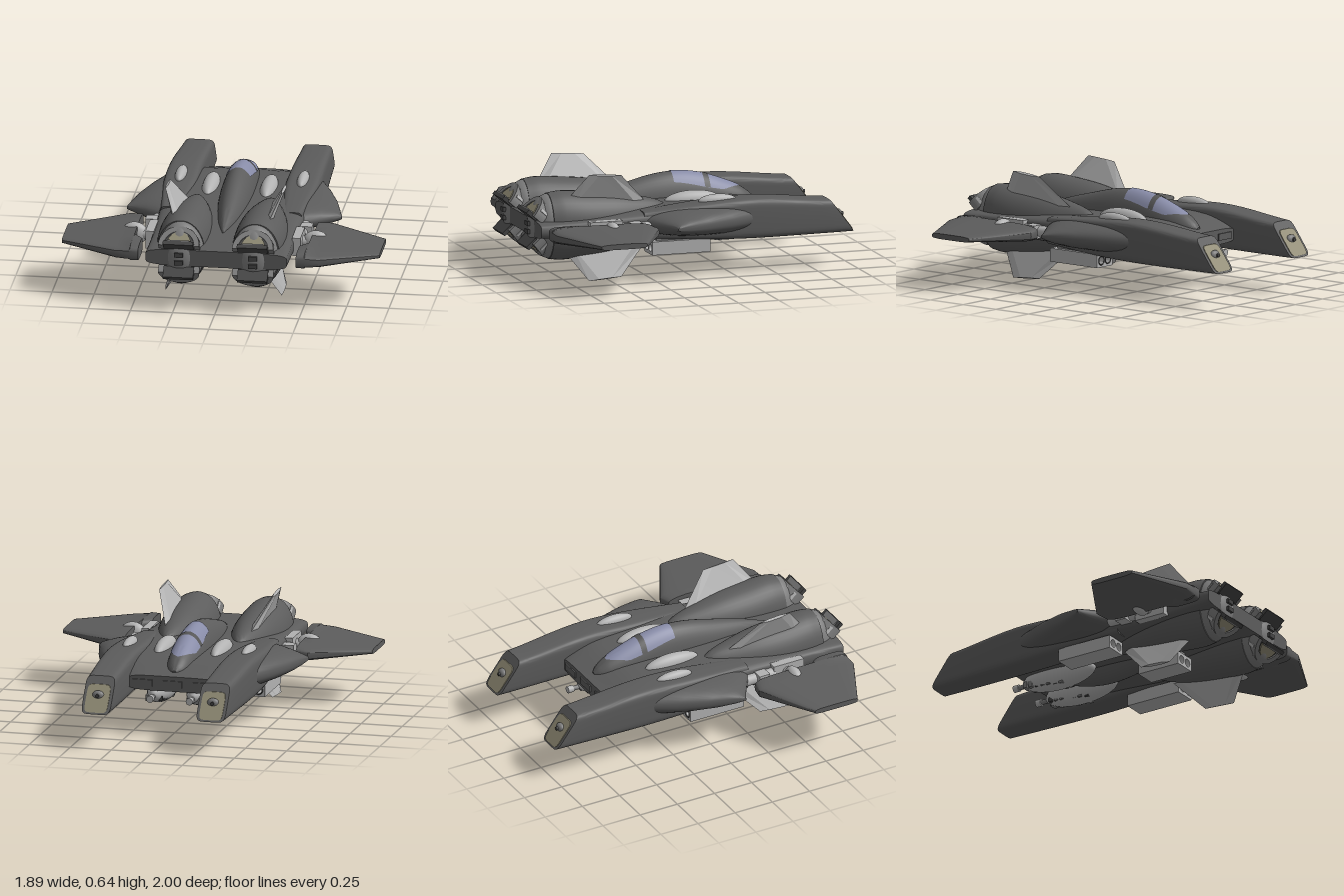
import * as THREE from 'three';
import { toCreasedNormals } from 'three/addons/utils/BufferGeometryUtils.js';

const mat = (name, color, side = THREE.FrontSide) => {
  const m = new THREE.MeshStandardMaterial({ color, side });
  m.name = name;
  return m;
};
const HULL = mat('dark hull grey', 0x5c5c5c);
const LIGHT = mat('light grey', 0xb2b2b2);
const METAL = mat('engine metal', 0x7c7c7c);
const SHADOW = mat('deep grey', 0x444444);
const GLASS = mat('canopy blue', 0x888ca8, THREE.DoubleSide);
const LAMP = mat('dull tan', 0x928d76);
const FRAME = mat('canopy frame grey', 0x545454, THREE.DoubleSide);

// Smooth (or straight) interpolation of rows [t, a, b, ...] at t
function interp(keys, t, straight) {
  let i = 0;
  while (i < keys.length - 2 && t > keys[i + 1][0]) i++;
  const a = keys[i], b = keys[i + 1], h = b[0] - a[0], u = (t - a[0]) / h;
  const p = keys[i - 1] || a, q = keys[i + 2] || b;
  return a.map((_, k) => {
    if (straight) return a[k] + (b[k] - a[k]) * u;
    const m0 = (b[k] - p[k]) / (b[0] - p[0]) * h, m1 = (q[k] - a[k]) / (q[0] - a[0]) * h;
    return a[k] * (1 + 2 * u) * (1 - u) ** 2 + m0 * u * (1 - u) ** 2
      + b[k] * u * u * (3 - 2 * u) + m1 * u * u * (u - 1);
  });
}

// Stations between the keys, always including the keys themselves
function stations(keys, per) {
  const out = [keys[0][0]];
  for (let i = 1; i < keys.length; i++)
    for (let j = 1; j <= per; j++) out.push(keys[i - 1][0] + (keys[i][0] - keys[i - 1][0]) * j / per);
  return out;
}

// Skin over rings of points; closed skins get end caps and outward winding
function skin(rings, closed = true, crease = 0.65) {
  const n = rings[0].length, pos = rings.flat(2), idx = [];
  for (let r = 0; r < rings.length - 1; r++)
    for (let i = 0; i < (closed ? n : n - 1); i++) {
      const a = r * n + i, b = r * n + (i + 1) % n;
      idx.push(a, b, b + n, a, b + n, a + n);
    }
  if (closed) [0, rings.length - 1].forEach((r) => {
    const c = pos.length / 3;
    pos.push(...[0, 1, 2].map((k) => rings[r].reduce((s, p) => s + p[k], 0) / n));
    for (let i = 0; i < n; i++) {
      const a = r * n + i, b = r * n + (i + 1) % n;
      r ? idx.push(c, a, b) : idx.push(c, b, a);
    }
  });
  let volume = 0;
  const v = (i) => new THREE.Vector3(...pos.slice(i * 3, i * 3 + 3));
  for (let i = 0; i < idx.length; i += 3) volume += v(idx[i]).dot(v(idx[i + 1]).cross(v(idx[i + 2])));
  if (closed && volume < 0) idx.reverse();
  const g = new THREE.BufferGeometry();
  g.setAttribute('position', new THREE.Float32BufferAttribute(pos, 3));
  g.setIndex(idx);
  return toCreasedNormals(g, crease);
}

const pow = (v, e) => Math.sign(v) * Math.abs(v) ** (2 / e);
const angles = (n, a0 = 0, a1 = 2 * Math.PI * (n - 1) / n) =>
  Array.from({ length: n }, (_, i) => a0 + (a1 - a0) * i / (n - 1));

// Body along z from rows [z, cx, cy, halfWidth, halfHeight, shear]
const ringZ = ([z, cx, cy, w, h, sh = 0], e, s, list) => list.map((a) =>
  [s * (cx + w * pow(Math.cos(a), e)), cy + h * pow(Math.sin(a), e), z + sh * pow(Math.sin(a), e)]);
const bodyZ = (keys, e, s = 1, per = 5) =>
  skin(stations(keys, per).map((z) => ringZ(interp(keys, z), e, s, angles(40))));

// Flat wing along x from rows [x, zFront, zBack, halfThickness]
const wingX = (keys, e, s, y) => skin(stations(keys, 1).map((x) => {
  const [, z0, z1, t] = interp(keys, x, true);
  return angles(32).map((a) => [s * x, y + t * pow(Math.sin(a), e), (z0 + z1) / 2 + (z1 - z0) / 2 * pow(Math.cos(a), e)]);
}));

const SPINE = [[-0.51, 0, 0.36, 0.015, 0.02], [-0.48, 0, 0.36, 0.045, 0.05], [-0.42, 0, 0.36, 0.072, 0.09],
  [-0.3, 0, 0.36, 0.092, 0.14], [-0.18, 0, 0.36, 0.099, 0.178], [-0.03, 0, 0.36, 0.102, 0.197],
  [0.12, 0, 0.36, 0.1, 0.184], [0.3, 0, 0.36, 0.085, 0.14], [0.5, 0, 0.36, 0.052, 0.085], [0.65, 0, 0.36, 0.01, 0.03]];

// Thin patch over the top of the spine, rounded at its front and narrowing aft
function spinePatch(z0, z1, lift) {
  return skin(Array.from({ length: 21 }, (_, i) => {
    const z = z0 + (z1 - z0) * i / 20, [, , cy, w, h] = interp(SPINE, z);
    const half = (0.95 - Math.max(0, z + 0.2) * 0.9) * Math.sqrt(Math.min(1, Math.max(0.002, (z + 0.43) / 0.12)));
    return ringZ([z, 0, cy, w + lift, h + lift], 2, 1, angles(17, Math.PI / 2 - half, Math.PI / 2 + half));
  }), false);
}

export function createModel() {
  const root = new THREE.Group();
  root.name = 'spacecraft';
  const add = (name, geo, m, p = [0, 0, 0], parent = root) => {
    const mesh = new THREE.Mesh(geo, m);
    mesh.name = name;
    mesh.position.set(...p);
    parent.add(mesh);
    return mesh;
  };
  const box = (name, size, m, p, parent) => add(name, new THREE.BoxGeometry(...size), m, p, parent);
  const ball = (name, r, m, p) => add(name, new THREE.SphereGeometry(1, 32, 20).scale(...r), m, p);
  const rod = (name, r, len, axis, m, p) => {
    const g = new THREE.CylinderGeometry(r, r, len, 20);
    axis === 'x' ? g.rotateZ(-Math.PI / 2) : g.rotateX(Math.PI / 2);
    return add(name, g, m, p);
  };

  // Central hull, spine and canopy
  add('hull', bodyZ([[-0.56, 0, 0.31, 0.27, 0.045], [-0.35, 0, 0.33, 0.4, 0.08], [0, 0, 0.33, 0.45, 0.09],
    [0.3, 0, 0.325, 0.43, 0.085], [0.6, 0, 0.32, 0.42, 0.07], [0.94, 0, 0.325, 0.42, 0.05]], 5), HULL);
  add('spine', bodyZ(SPINE, 2), HULL);
  add('canopy', spinePatch(-0.429, 0, 0.003), GLASS);
  add('canopyFrame', spinePatch(-0.225, -0.19, 0.006), FRAME);
  [-0.18, 0, 0.18].forEach((x) => box('noseTab', [0.12, 0.04, 0.015], HULL, [x, 0.31, -0.56]));

  // Rocket pod with two open tubes
  const pod = (x, y, z, len) => {
    const shape = new THREE.Shape([[-0.07, -0.04], [0.07, -0.04], [0.07, 0.04], [-0.07, 0.04]].map((p) => new THREE.Vector2(...p)));
    [-0.03, 0.03].forEach((hx) => shape.holes.push(new THREE.Path().absarc(hx, 0, 0.024, 0, Math.PI * 2, true)));
    add('rocketPod', new THREE.ExtrudeGeometry(shape, { depth: len, bevelEnabled: false, curveSegments: 16 }), LIGHT, [x, y, z]);
    box('podPylon', [0.09, 0.06, len * 0.7], METAL, [x, y + 0.065, z + len * 0.55]);
    [-0.03, 0.03].forEach((hx) => add('podTubeRim', new THREE.TorusGeometry(0.025, 0.004, 6, 20), SHADOW, [x + hx, y, z]));
  };
  pod(0, 0.17, 0.22, 0.28);

  // Half-round thrust nozzle, facing back and up
  const half = (r, inner) => {
    const s = new THREE.Shape().absarc(0, 0, r, 0, Math.PI);
    if (inner) s.absarc(0, 0, inner, Math.PI, 0, true);
    return s;
  };
  const slab = (shape, depth) => new THREE.ExtrudeGeometry(shape, { depth, bevelEnabled: false, curveSegments: 20 });
  const nozzle = (x, down) => {
    const holder = new THREE.Group(), g = new THREE.Group();
    holder.name = down ? 'lowerNozzle' : 'upperNozzle';
    holder.position.set(x, 0.325, 0);
    if (down) holder.rotation.z = Math.PI;
    g.position.set(0, 0.052, 0.925);
    g.rotation.x = -0.72;
    holder.add(g);
    root.add(holder);
    add('nozzleRing', slab(half(0.122, 0.09), 0.07), METAL, [0, 0, -0.02], g);
    add('nozzleWell', slab(half(0.092), 0.045), SHADOW, [0, 0, -0.005], g);
    add('nozzleGlow', slab(half(0.07), 0.009), LAMP, [0, 0.016, 0.04], g);
    box('nozzleSill', [0.18, 0.024, 0.075], SHADOW, [0, 0.002, 0.05], g);
    box('nozzleLip', [0.13, 0.008, 0.05], METAL, [0, 0.017, 0.06], g);
    [0.5, 1.05, Math.PI / 2, 2.09, 2.64].forEach((a) => {
      box('nozzleClamp', [0.024, 0.018, 0.05], LIGHT, [0.114 * Math.cos(a), 0.114 * Math.sin(a), 0.01], g).rotation.z = a;
    });
    box('thrustBlock', [0.05, 0.026, 0.06], SHADOW, [0, 0.024, 0.94], holder);
  };

  for (const s of [1, -1]) {
    // Forward prong with slanted lamp face and small gun
    const tip = [-0.925, 0.35, 0.31, 0.088, 0.1, 0.075];
    add('prong', bodyZ([tip, [-0.82, 0.352, 0.312, 0.091, 0.103, 0.04], [-0.4, 0.36, 0.33, 0.1, 0.12, 0],
      [-0.1, 0.36, 0.33, 0.1, 0.11, 0], [0.3, 0.36, 0.325, 0.06, 0.08, 0]], 6, s), HULL);
    add('prongLamp', skin([0, 0.006].map((d) =>
      ringZ([-0.938 - d, 0.35, 0.294, 0.07, 0.073, 0.055], 6, s, angles(32)))), LAMP);
    ball('prongGunMount', [0.036, 0.028, 0.022], METAL, [s * 0.35, 0.31, -0.925]);
    rod('prongGun', 0.011, 0.03, 'z', SHADOW, [s * 0.35, 0.31, -0.94]);

    // Shoulder strake and swept wing
    add('strake', wingX([[0.4, -0.45, 0.31, 0.085], [0.46, -0.36, 0.275, 0.078], [0.52, -0.23, 0.235, 0.064],
      [0.58, -0.07, 0.195, 0.043], [0.615, 0.06, 0.175, 0.025], [0.638, 0.155, 0.165, 0.008]], 2.4, s, 0.335), HULL);
    add('wing', wingX([[0.468, 0.71, 0.912, 0.045], [0.517, 0.655, 0.912, 0.05], [0.522, 0.285, 0.912, 0.05],
      [0.6, 0.27, 0.91, 0.043], [0.943, 0.46, 0.745, 0.016]], 4, s, 0.32), HULL);

    // Wing hinge
    box('hingePlate', [0.05, 0.11, 0.2], LIGHT, [s * 0.435, 0.32, 0.55]);
    box('hingeBlock', [0.09, 0.08, 0.07], LIGHT, [s * 0.45, 0.32, 0.37]);
    rod('hingeTube', 0.034, 0.2, 'z', LIGHT, [s * 0.435, 0.32, 0.36]);
    rod('hingeAxle', 0.034, 0.12, 'x', LIGHT, [s * 0.49, 0.32, 0.54]);
    ball('hingeFairing', [0.078, 0.068, 0.045], LIGHT, [s * 0.538, 0.32, 0.54]);

    // Engine nacelle with domed thrust face
    add('nacelle', bodyZ([[0.09, 0.22, 0.35, 0.012, 0.05], [0.16, 0.22, 0.335, 0.06, 0.105], [0.3, 0.22, 0.325, 0.11, 0.15],
      [0.45, 0.222, 0.325, 0.142, 0.178], [0.62, 0.224, 0.325, 0.156, 0.195], [0.76, 0.224, 0.325, 0.152, 0.205],
      [0.84, 0.222, 0.325, 0.141, 0.196]], 2.1, s), HULL);
    ball('engineDome', [0.138, 0.194, 0.132], METAL, [s * 0.22, 0.325, 0.825]);
    nozzle(s * 0.22, false);
    nozzle(s * 0.22, true);

    // Upper and lower canted fins
    for (const up of [1, -1]) {
      const rows = [[0.262, 0.13, 0.25, 0.76, 0.022, 0], [0.345, 0.311, 0.42, 0.62, 0.009, 0.014]];
      add(up > 0 ? 'upperFin' : 'lowerFin', skin(rows.map(([x, y, z0, z1, t, rise]) =>
        [[0, z0], [1, z0 + 0.06], [1, z1 - 0.06], [0, z1], [-1, z1 - 0.06], [-1, z0 + 0.06]].map(([k, z]) =>
          [s * (x + k * t * 0.9), 0.32 + up * (y - k * t * 0.4 + rise * (z - z0) / (z1 - z0) - rise / 2), z])), true, 0.1), LIGHT);
    }

    // Top blisters
    ball('innerBlister', [0.05, 0.065, 0.178], LIGHT, [s * 0.172, 0.405, -0.08]);
    ball('outerBlister', [0.034, 0.04, 0.118], LIGHT, [s * 0.362, 0.438, -0.17]);

    pod(s * 0.37, 0.19, -0.1, 0.36);

    // Belly gun bay with machinery
    ball('bellyBay', [0.078, 0.085, 0.25], LIGHT, [s * 0.12, 0.235, -0.3]);
    for (let i = 0; i < 14; i++)
      box('bayMachinery', [0.04 + 0.01 * (i % 3), 0.03 + 0.008 * (i % 2), 0.026], i % 3 ? METAL : SHADOW,
        [s * (0.12 + (i % 2 ? 0.026 : -0.026)), 0.176 + 0.0025 * i, -0.24 - i * 0.021]);
    rod('gunBarrel', 0.014, 0.2, 'z', METAL, [s * 0.12, 0.225, -0.51]);
    rod('gunMuzzle', 0.021, 0.035, 'z', LIGHT, [s * 0.12, 0.225, -0.6]);
  }
  return root;
}
